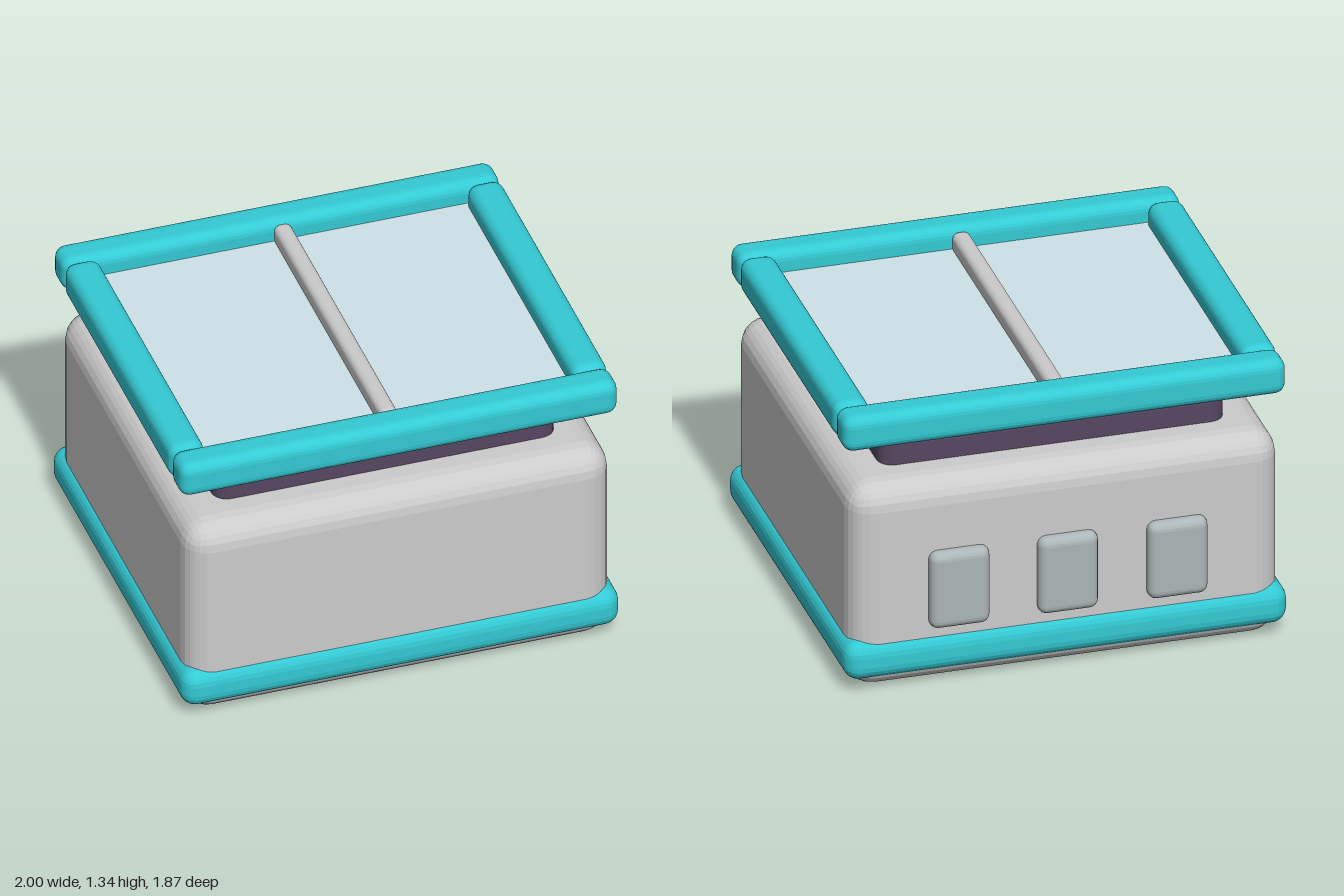
import * as THREE from 'three';
import { RoundedBoxGeometry } from 'three/addons/geometries/RoundedBoxGeometry.js';

const material = (color) => new THREE.MeshStandardMaterial({ color, flatShading: true });

export function createModel() {
  const model = new THREE.Group();
  const grey = material(0xcccccc);
  const teal = material(0x34cad4);
  const plum = material(0x564660);
  const glass = material(0xcde3e8);
  const slate = material(0xacb6b8);

  // Bevelled block given by its [min, max] range on each axis
  const block = (name, mat, [x0, x1], [y0, y1], [z0, z1], radius, segments = 3) => {
    const geometry = new RoundedBoxGeometry(x1 - x0, y1 - y0, z1 - z0, segments, radius);
    const mesh = new THREE.Mesh(geometry, mat);
    mesh.name = name;
    mesh.position.set((x0 + x1) / 2, (y0 + y1) / 2, (z0 + z1) / 2);
    model.add(mesh);
    return mesh;
  };

  // Main body, the band round its foot and the neck under the roof
  block('body', grey, [-0.97, 0.97], [0, 0.985], [-0.885, 0.905], 0.12);
  block('baseBand', teal, [-1, 1], [0.06, 0.245], [-0.91, 0.93], 0.07);
  block('neck', plum, [-0.78, 0.78], [0.8, 1.145], [-0.685, 0.705], 0.07);

  // Roof frame: front and back rails, then the two side rails
  const frameY = [1.165, 1.335];
  block('frontRail', teal, [-1, 1], frameY, [0.73, 0.89], 0.05);
  block('backRail', teal, [-1, 1], frameY, [-0.875, -0.715], 0.05);
  block('leftRail', teal, [0.84, 1], frameY, [-0.73, 0.745], 0.05);
  block('rightRail', teal, [-1, -0.84], frameY, [-0.73, 0.745], 0.05);

  // Glass pane and the bar that divides it
  const pane = new THREE.Mesh(new THREE.BoxGeometry(1.7, 0.03, 1.5), glass);
  pane.name = 'glassPane';
  pane.position.set(0, 1.22, 0.008);
  model.add(pane);
  block('paneDivider', grey, [-0.04, 0.04], [1.215, 1.315], [-0.735, 0.745], 0.03);

  // Three raised panels on the back
  for (const x of [-0.495, 0, 0.49]) {
    block('backPanel', slate, [x - 0.135, x + 0.135], [0.28, 0.65], [-0.935, -0.8], 0.04);
  }

  return model;
}
